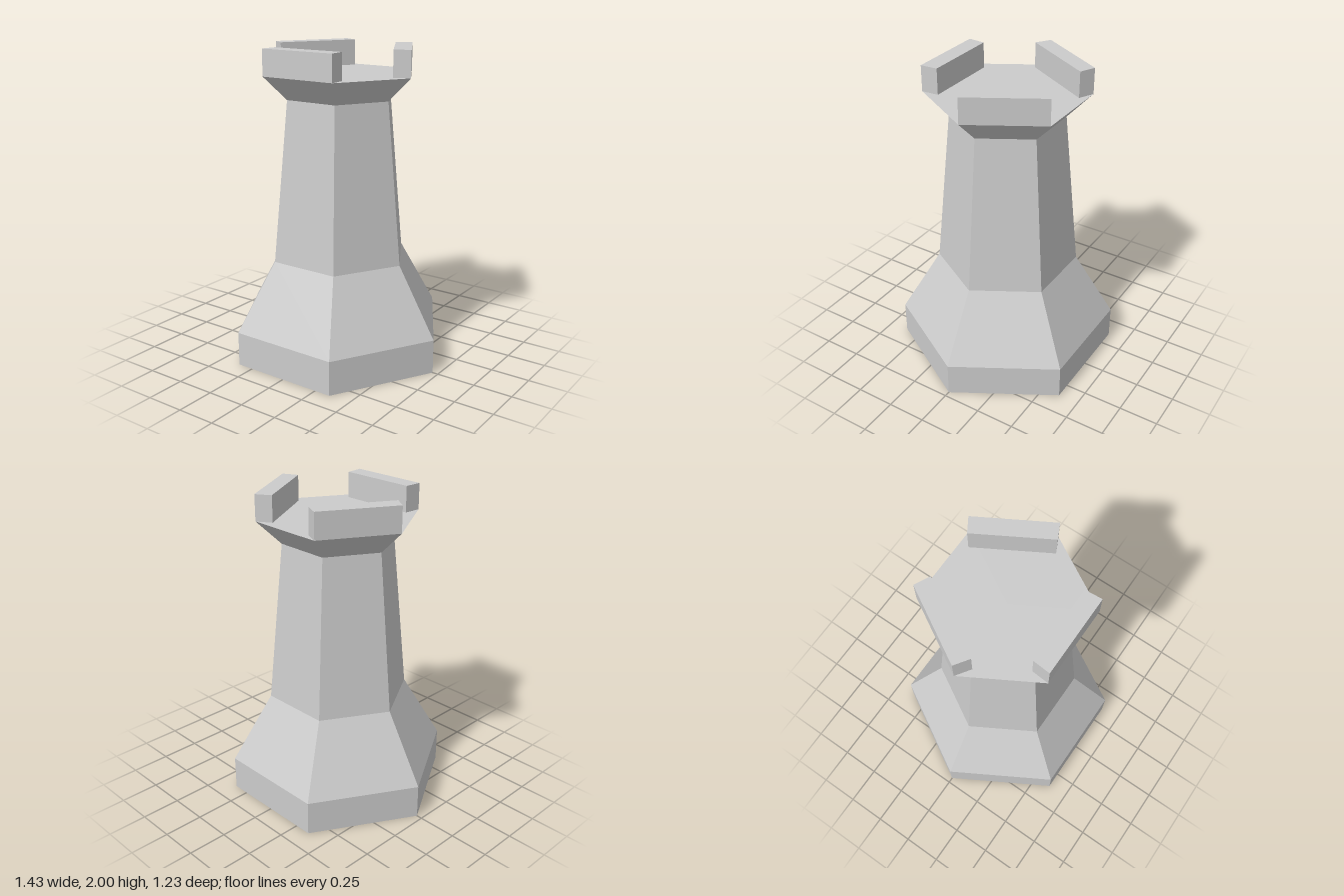
import * as THREE from 'three';

export function createModel() {
  const group = new THREE.Group();
  group.name = 'rookTower';
  const material = new THREE.MeshStandardMaterial({ color: 0xcccccc, flatShading: true });

  // Six-sided tower: plinth, sloping foot, tapered shaft, flared head and its floor
  const profile = [
    [0, 0], [0.713, 0], [0.713, 0.22], [0.455, 0.66], [0.355, 1.685], [0.508, 1.835], [0, 1.835],
  ].map(([r, y]) => new THREE.Vector2(r, y));
  const tower = new THREE.Mesh(new THREE.LatheGeometry(profile, 6, Math.PI / 2), material);
  tower.name = 'tower';
  group.add(tower);

  // Battlements on alternate sides, each a four-cornered footprint [x, z] raised to the top
  const addBattlement = (name, corners) => {
    const shape = new THREE.Shape(corners.map(([x, z]) => new THREE.Vector2(x, -z)));
    const geometry = new THREE.ExtrudeGeometry(shape, { depth: 0.165, bevelEnabled: false });
    geometry.rotateX(-Math.PI / 2).translate(0, 1.835, 0);
    const mesh = new THREE.Mesh(geometry, material);
    mesh.name = name;
    group.add(mesh);
  };
  addBattlement('frontBattlement', [[-0.254, 0.44], [0.254, 0.44], [0.246, 0.331], [-0.246, 0.331]]);
  addBattlement('leftBattlement', [[0.508, 0], [0.254, -0.44], [0.163, -0.384], [0.413, 0.047]]);
  addBattlement('rightBattlement', [[-0.508, 0], [-0.254, -0.44], [-0.159, -0.394], [-0.42, 0.06]]);

  return group;
}
